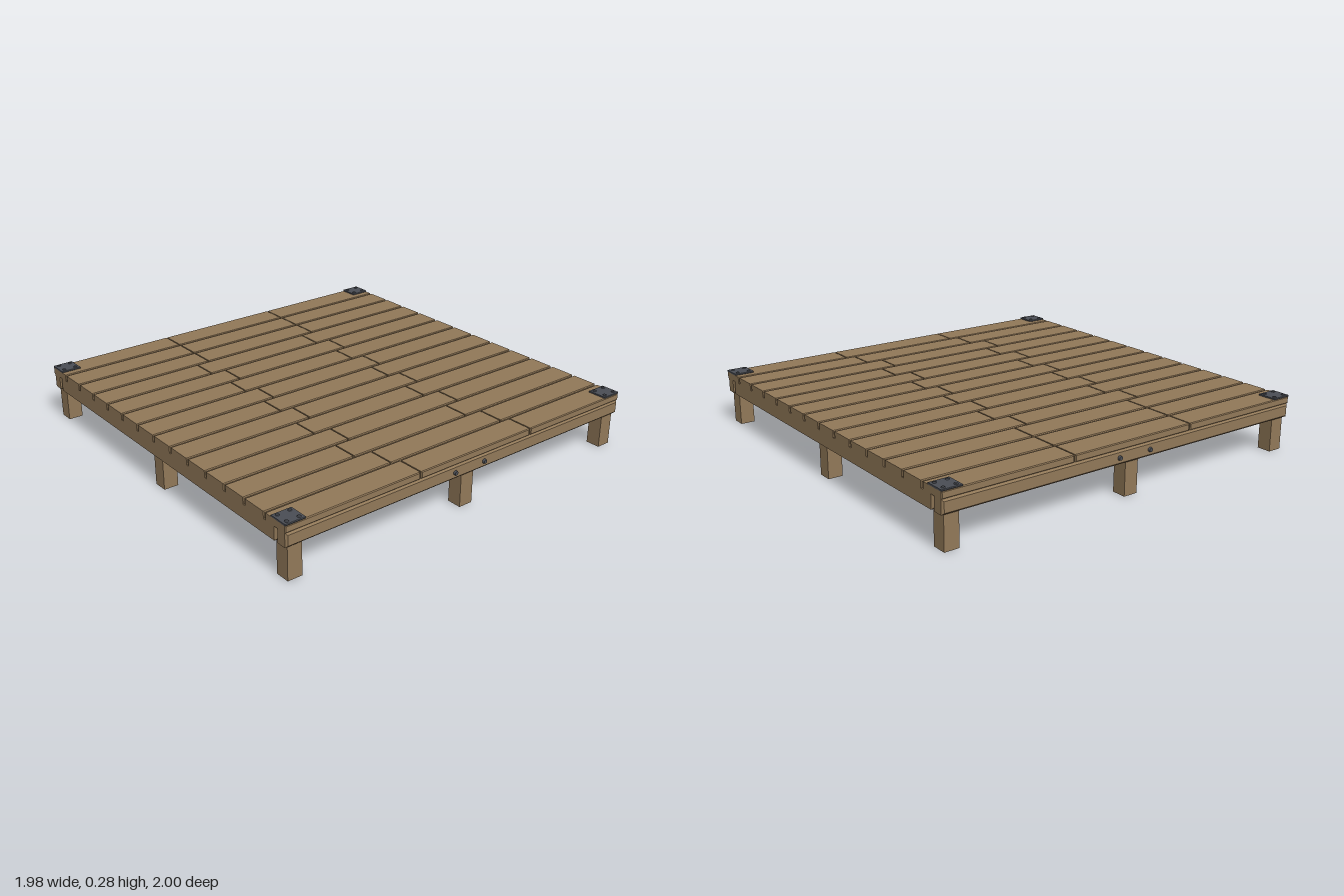
import * as THREE from 'three';

const wood = new THREE.MeshStandardMaterial({ color: 0x917858 });
wood.name = 'wood';
const metal = new THREE.MeshStandardMaterial({ color: 0x4a4d54 });
metal.name = 'dark metal';

// Box with small chamfers on every edge, given by its extents
function chamferedBox(x0, x1, y0, y1, z0, z1, c) {
  const w = (x1 - x0) / 2 - c, h = (y1 - y0) / 2 - c, d = z1 - z0 - 2 * c;
  const s = new THREE.Shape();
  s.moveTo(-w, -h);
  s.lineTo(w, -h);
  s.lineTo(w, h);
  s.lineTo(-w, h);
  s.closePath();
  const g = new THREE.ExtrudeGeometry(s, {
    depth: d, bevelEnabled: true, bevelThickness: c, bevelSize: c, bevelSegments: 1,
  });
  g.translate((x0 + x1) / 2, (y0 + y1) / 2, z0 + c);
  return g;
}

export function createModel() {
  const model = new THREE.Group();
  model.name = 'woodenDeck';
  const add = (name, geometry, material, parent = model) => {
    const m = new THREE.Mesh(geometry, material);
    m.name = name;
    parent.add(m);
    return m;
  };

  // Deck planks: each row is cut in three, with some rows shifted sideways
  const planks = new THREE.Group();
  planks.name = 'planks';
  model.add(planks);
  const shifts = [0, 0, 0, -0.075, 0, -0.063, 0, -0.063, 0, -0.085, 0, -0.085, 0, 0.043];
  shifts.forEach((shift, row) => {
    const z = (row - 6.5) * 0.1418;
    const cuts = [-0.992, -0.332 + shift, 0.332 + shift, 0.992];
    for (let i = 0; i < 3; i++) {
      const x0 = cuts[i] + (i > 0 ? 0.003 : 0);
      const x1 = cuts[i + 1] - (i < 2 ? 0.003 : 0);
      add('plank', chamferedBox(x0, x1, 0.231, 0.265, z - 0.067, z + 0.067, 0.004), wood, planks);
    }
  });

  // Frame: long beams in front and back, side beams between, two joists
  for (const s of [-1, 1]) {
    const zc = s * 0.957, xc = s * 0.957, xj = s * 0.333;
    add(s > 0 ? 'frontBeam' : 'backBeam',
      chamferedBox(-0.99, 0.99, 0.163, 0.23, zc - 0.033, zc + 0.033, 0.009), wood);
    add(s > 0 ? 'leftBeam' : 'rightBeam',
      chamferedBox(xc - 0.033, xc + 0.033, 0.163, 0.23, -0.92, 0.92, 0.009), wood);
    add('joist', chamferedBox(xj - 0.03, xj + 0.03, 0.165, 0.231, -0.924, 0.924, 0.006), wood);
  }

  // Legs in a three by three grid; the middle one reaches the planks
  for (const x of [-0.938, 0, 0.938]) {
    for (const z of [-0.938, 0, 0.938]) {
      const h = x === 0 && z === 0 ? 0.231 : 0.168;
      add('leg', new THREE.BoxGeometry(0.072, h, 0.072).translate(x, h / 2, z), wood);
    }
  }

  // Corner plates with screw heads
  for (const x of [-1, 1]) {
    for (const z of [-1, 1]) {
      const corner = new THREE.Group();
      corner.name = 'cornerPlate';
      corner.position.set(x * 0.942, 0.264, z * 0.94);
      model.add(corner);
      add('plate', chamferedBox(-0.05, 0.05, 0, 0.008, -0.05, 0.05, 0.003), metal, corner);
      for (const [sx, sz] of [[-1, -1], [1, 1], [-1, 1], [1, -1]]) {
        add('screw', new THREE.CylinderGeometry(0.007, 0.01, 0.005, 10)
          .translate(sx * 0.03, 0.0095, sz * 0.03), metal, corner);
      }
    }
  }

  // Bolt heads on the front and back beams
  for (const z of [-1, 1]) {
    for (const x of [-0.09, 0.085]) {
      const bolt = add('bolt', new THREE.CylinderGeometry(0.009, 0.012, 0.012, 12), metal);
      bolt.rotation.x = z * Math.PI / 2;
      bolt.position.set(x, 0.196, z * 0.994);
    }
  }
  return model;
}
